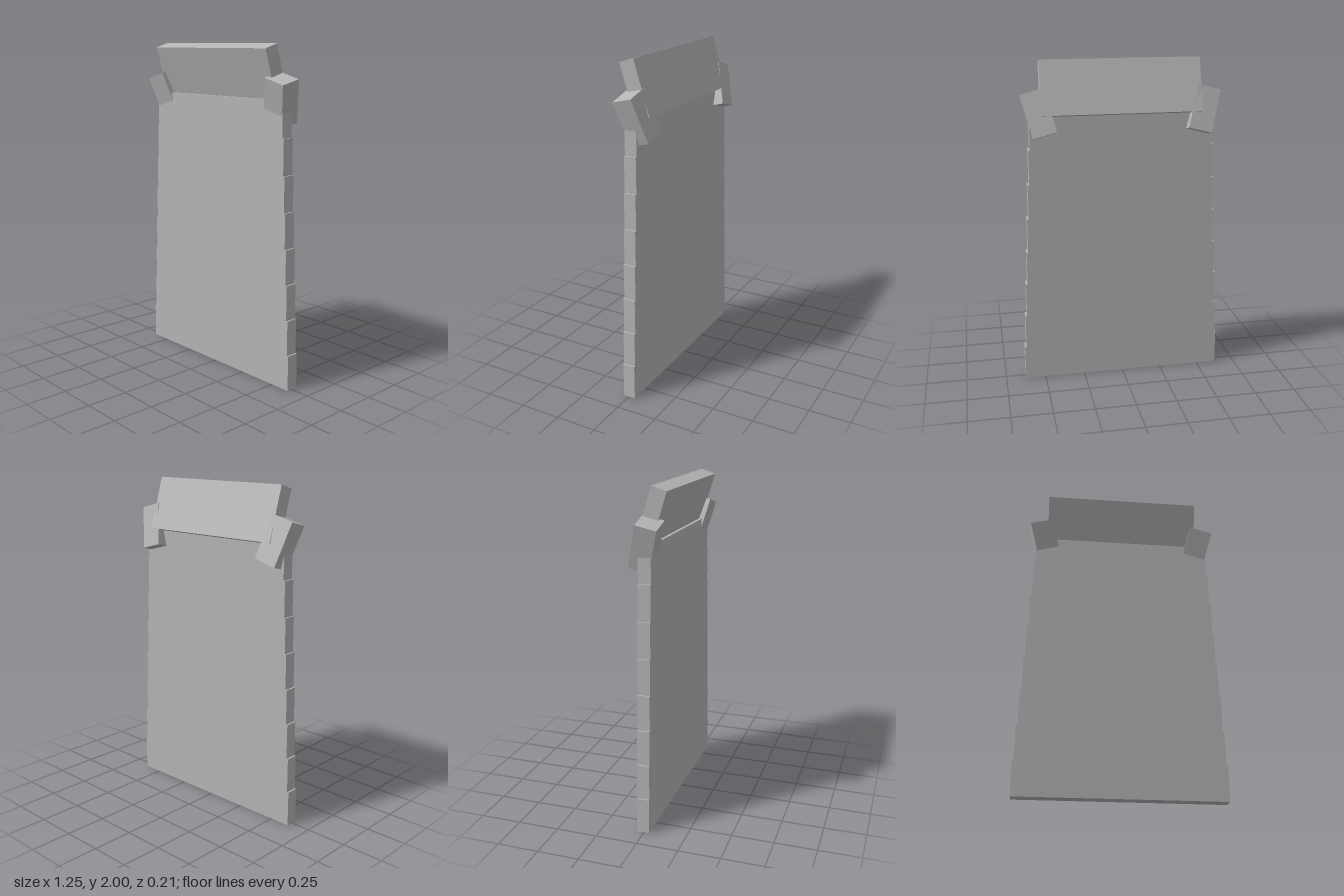
import * as THREE from 'three';

export function createModel() {
  const group = new THREE.Group();
  const grey = new THREE.MeshStandardMaterial({ color: 0xb4b4b4 });
  grey.name = 'plain grey';

  const addBox = (name, size, position, rotation = [0, 0, 0]) => {
    const mesh = new THREE.Mesh(new THREE.BoxGeometry(...size), grey);
    mesh.name = name;
    mesh.position.set(...position);
    mesh.rotation.set(...rotation, 'ZYX');
    group.add(mesh);
    return mesh;
  };

  // Tapering cape: eight slabs, each a little narrower than the one below
  const slabs = 8, rise = 0.211, slabHeight = 0.214;
  for (let i = 0; i < slabs; i++) {
    const width = 2 * (0.626 - 0.0105 * i);
    addBox(`capePanel${i + 1}`, [width, slabHeight, 0.075], [0, i * rise + slabHeight / 2, -0.004]);
  }

  // Raised collar, leaning forward
  addBox('collar', [0.962, 0.327, 0.092], [0, 1.83, 0.009], [0.3, 0, 0]);

  // Shoulder clasps, leaning forward and outward
  for (const [name, side] of [['leftClasp', 1], ['rightClasp', -1]]) {
    addBox(name, [0.145, 0.265, 0.123], [side * 0.494, 1.686, -0.0125], [0.25, 0, -side * 0.26]);
  }

  return group;
}
